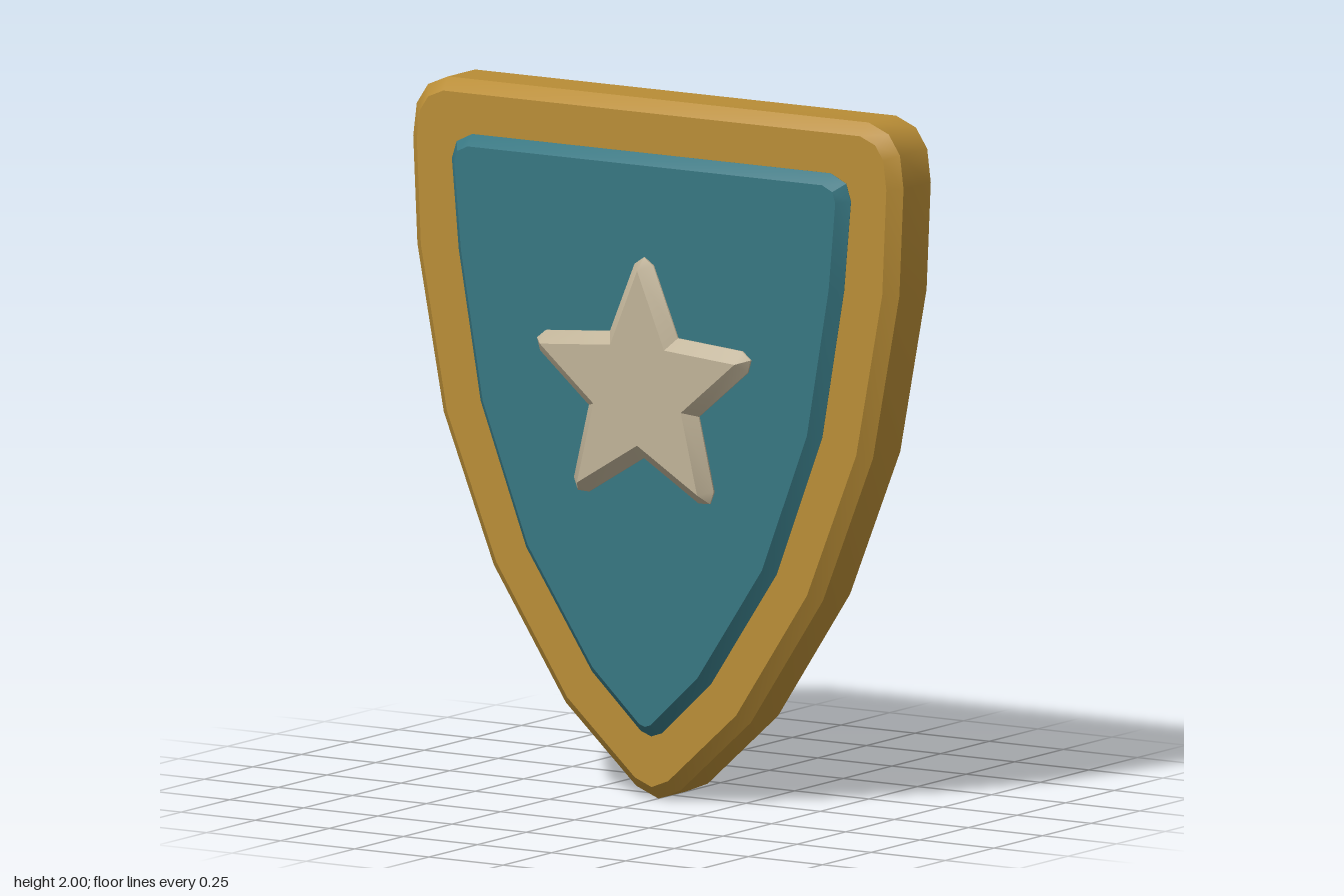
import * as THREE from 'three';
import { toCreasedNormals } from 'three/addons/utils/BufferGeometryUtils.js';

const V = (x, y) => new THREE.Vector2(x, y);

// Half outline from bottom tip up the +x side, mirrored to a closed counterclockwise loop
function mirrored(half) {
  const right = half.map(([x, y]) => V(x, y));
  const left = right.slice(1).reverse().map((p) => V(-p.x, p.y));
  return [...right, ...left];
}

// Move every edge of a counterclockwise loop inward by d
function inset(loop, d) {
  const n = loop.length;
  return loop.map((p, i) => {
    const a = p.clone().sub(loop[(i + n - 1) % n]).normalize();
    const b = loop[(i + 1) % n].clone().sub(p).normalize();
    const n1 = V(-a.y, a.x), n2 = V(-b.y, b.x);
    return p.clone().add(n1.clone().add(n2).multiplyScalar(d / (1 + n1.dot(n2))));
  });
}

// Two-sided slab: outer loop at +-zEdge, chamfered to the face loop at +-zFace
function slab(outer, face, zEdge, zFace) {
  const n = outer.length;
  const rows = [[face, -zFace], [outer, -zEdge], [outer, zEdge], [face, zFace]];
  const pos = rows.flatMap(([loop, z]) => loop.flatMap((p) => [p.x, p.y, z]));
  const idx = [];
  for (let r = 0; r < 3; r++) {
    for (let i = 0; i < n; i++) {
      const j = (i + 1) % n, a = r * n + i, b = r * n + j;
      idx.push(a, b, b + n, a, b + n, a + n);
    }
  }
  for (const [a, b, c] of THREE.ShapeUtils.triangulateShape(face, [])) {
    idx.push(3 * n + a, 3 * n + b, 3 * n + c, c, b, a);
  }
  const g = new THREE.BufferGeometry();
  g.setAttribute('position', new THREE.Float32BufferAttribute(pos, 3));
  g.setIndex(idx);
  return toCreasedNormals(g, 0.6);
}

// Five-pointed star: sharp face loop, and an outer loop with blunted tips
function starLoops(cy, R, r, d) {
  const at = (i) => {
    const t = Math.PI / 2 + (i * Math.PI) / 5, q = i % 2 ? r : R;
    return V(q * Math.cos(t), cy + q * Math.sin(t));
  };
  const pts = Array.from({ length: 10 }, (_, i) => at(i));
  const grown = inset(pts, -d);
  const face = [], outer = [];
  pts.forEach((p, i) => {
    if (i % 2) {
      face.push(p);
      outer.push(grown[i]);
      return;
    }
    const a = p.clone().sub(pts[(i + 9) % 10]).normalize();
    const b = pts[(i + 1) % 10].clone().sub(p).normalize();
    const n1 = V(a.y, -a.x), n2 = V(b.y, -b.x);
    const mid = n1.clone().add(n2).normalize();
    for (const m of [n1, mid, n2]) {
      face.push(p.clone());
      outer.push(p.clone().addScaledVector(m, d));
    }
  });
  return [outer, face];
}

export function createModel() {
  const group = new THREE.Group();
  const material = (name, color) => {
    const m = new THREE.MeshStandardMaterial({ color });
    m.name = name;
    return m;
  };
  const add = (name, geometry, mat) => {
    const mesh = new THREE.Mesh(geometry, mat);
    mesh.name = name;
    group.add(mesh);
  };

  // Gold rim body
  const rim = mirrored([
    [0, 0], [0.075, 0.03], [0.312, 0.246], [0.555, 0.617], [0.724, 1.04], [0.813, 1.513],
    [0.827, 1.82], [0.815, 1.915], [0.777, 1.972], [0.71, 2],
  ]);
  add('rim', slab(rim, inset(rim, 0.035), 0.07, 0.105), material('gold', 0xb98d36));

  // Raised teal panel, standing out on both faces
  const panel = mirrored([
    [0, 0.183], [0.035, 0.195], [0.2, 0.35], [0.422, 0.685], [0.576, 1.09], [0.65, 1.518],
    [0.673, 1.775], [0.657, 1.825], [0.605, 1.85],
  ]);
  add('panel', slab(panel, inset(panel, 0.03), 0.106, 0.14), material('teal', 0x377681));

  // Star emblem on both faces
  const [outer, face] = starLoops(1.18, 0.345, 0.155, 0.034);
  add('star', slab(outer, face, 0.145, 0.18), material('cream', 0xc0b398));

  return group;
}
